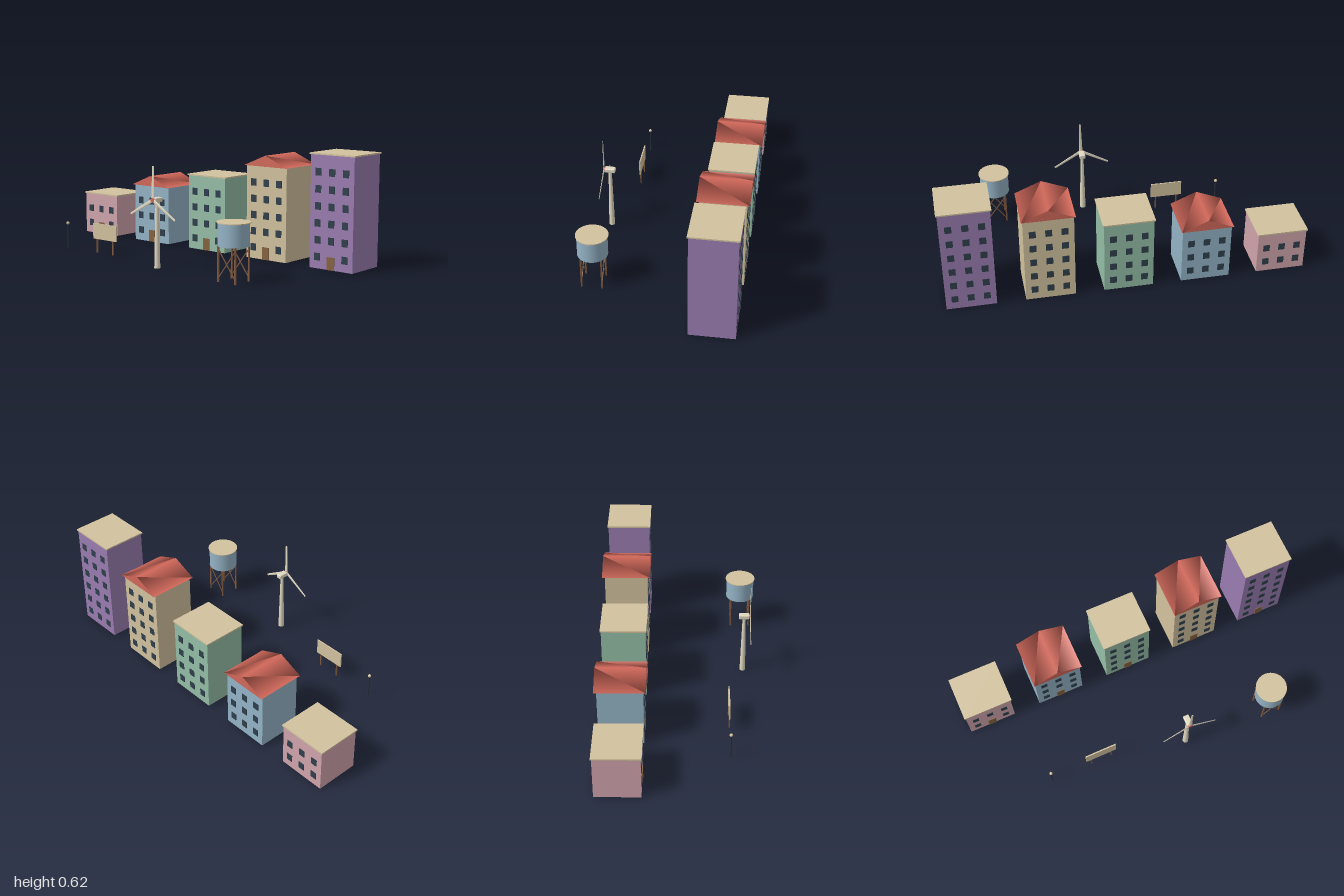
import * as THREE from 'three';
import { RoundedBoxGeometry } from 'three/addons/geometries/RoundedBoxGeometry.js';

const mat = (color) => new THREE.MeshStandardMaterial({ color });
const M = {
  cream: mat(0xd2c29e), pale: mat(0xe0d8c0), red: mat(0xd2685a), brown: mat(0x80593f),
  door: mat(0x86633f), glass: mat(0x2f3f4c), dark: mat(0x2c3038), steel: mat(0x94b3c6),
};

function add(parent, name, geometry, material, x = 0, y = 0, z = 0) {
  const mesh = new THREE.Mesh(geometry, material);
  mesh.name = name;
  mesh.position.set(x, y, z);
  parent.add(mesh);
  return mesh;
}

function group(parent, name, x, z) {
  const g = new THREE.Group();
  g.name = name;
  g.position.set(x, 0, z);
  parent.add(g);
  return g;
}

const box = (w, h, d) => new THREE.BoxGeometry(w, h, d);
const cyl = (rTop, rBottom, h, n = 24) => new THREE.CylinderGeometry(rTop, rBottom, h, n);

// Triangular prism with its ridge along z, base on y = 0
function gable(w, h, d) {
  const g = cyl(1, 1, d, 3);
  g.rotateX(-Math.PI / 2);
  g.computeBoundingBox();
  if (g.boundingBox.max.y < 0.9) g.rotateZ(Math.PI);
  g.translate(0, 0.5, 0);
  g.scale(w / Math.sqrt(3), h / 1.5, 1);
  return g;
}

// Apartment house with a window grid on the front and back
function building(parent, x, floors, color, pitched) {
  const W = 0.271, D = 0.245, step = 0.0912;
  const H = floors * step + 0.065;
  const b = group(parent, 'building', x, -0.3125);
  add(b, 'walls', box(W, H, D), mat(color), 0, H / 2, 0);
  if (pitched) add(b, 'gableRoof', gable(0.288, 0.061, 0.276), M.red, 0, H, 0);
  else add(b, 'flatRoof', box(0.284, 0.008, 0.256), M.cream, 0, H + 0.003, 0);

  for (const side of [1, -1]) {
    for (let row = 0; row < floors; row++) {
      for (let col = -1; col <= 1; col++) {
        if (side === 1 && row === 0 && col === 0) continue;
        add(b, 'window', box(0.036, 0.04, 0.006), M.glass,
          col * 0.086, 0.064 + row * step, side * D / 2);
      }
    }
  }
  add(b, 'door', box(0.046, 0.07, 0.008), M.door, 0, 0.035, D / 2);
}

function waterTower(parent) {
  const g = group(parent, 'waterTower', 0.64, 0.361);
  add(g, 'tank', cyl(0.082, 0.082, 0.119, 32), M.steel, 0, 0.2445, 0);
  add(g, 'tankLid', cyl(0.0875, 0.0875, 0.005, 32), M.cream, 0, 0.3055, 0);
  const s = 0.055, rise = 0.15;
  for (const z of [s, -s]) {
    for (const x of [s, -s]) add(g, 'leg', box(0.008, 0.188, 0.008), M.brown, x, 0.094, z);
    // Crossed braces between each pair of legs
    for (const dir of [1, -1]) {
      const brace = add(g, 'brace', box(0.005, Math.hypot(2 * s, rise), 0.004), M.brown, 0, 0.095, z);
      brace.rotation.z = dir * Math.atan2(2 * s, rise);
    }
  }
}

function windTurbine(parent) {
  const g = group(parent, 'windTurbine', 0.12, 0.363);
  add(g, 'tower', cyl(0.009, 0.0165, 0.36, 20), M.pale, 0, 0.18, 0);
  add(g, 'nacelle', new RoundedBoxGeometry(0.034, 0.026, 0.06, 3, 0.006), M.pale, 0, 0.3685, 0);
  const rotor = group(g, 'rotor', 0, 0.034);
  rotor.position.y = 0.37;
  const hub = add(rotor, 'hub', cyl(0.012, 0.012, 0.011, 16), M.red, 0, 0, -0.001);
  hub.rotation.x = Math.PI / 2;
  // Three thin tapered blades
  const blade = cyl(0.006, 0.01, 0.176, 10);
  blade.scale(1, 1, 0.3);
  blade.translate(0, 0.095, 0);
  for (let i = 0; i < 3; i++) {
    add(rotor, 'blade', blade, M.pale).rotation.z = i * Math.PI * 2 / 3 - 0.02;
  }
}

function billboard(parent) {
  const g = group(parent, 'billboard', -0.368, 0.269);
  add(g, 'panel', box(0.184, 0.09, 0.007), M.cream, 0, 0.124, 0);
  for (const x of [-0.062, 0.062]) add(g, 'post', box(0.007, 0.082, 0.007), M.brown, x, 0.041, 0);
}

function streetLamp(parent) {
  const g = group(parent, 'streetLamp', -0.673, 0.27);
  add(g, 'lampPost', cyl(0.0035, 0.004, 0.142, 8), M.dark, 0, 0.071, 0);
  add(g, 'lampHead', new THREE.SphereGeometry(0.0095, 10, 8), M.cream, 0, 0.1455, 0);
}

export function createModel() {
  const model = new THREE.Group();
  model.name = 'townStreet';
  const spacing = 0.4285;
  const colors = [0xd0a5ac, 0x94b3c6, 0x94bea6, 0xd2c29e, 0x9a7cb0];
  colors.forEach((c, i) => building(model, (i - 2) * spacing, i + 2, c, i % 2 === 1));
  waterTower(model);
  windTurbine(model);
  billboard(model);
  streetLamp(model);
  return model;
}
